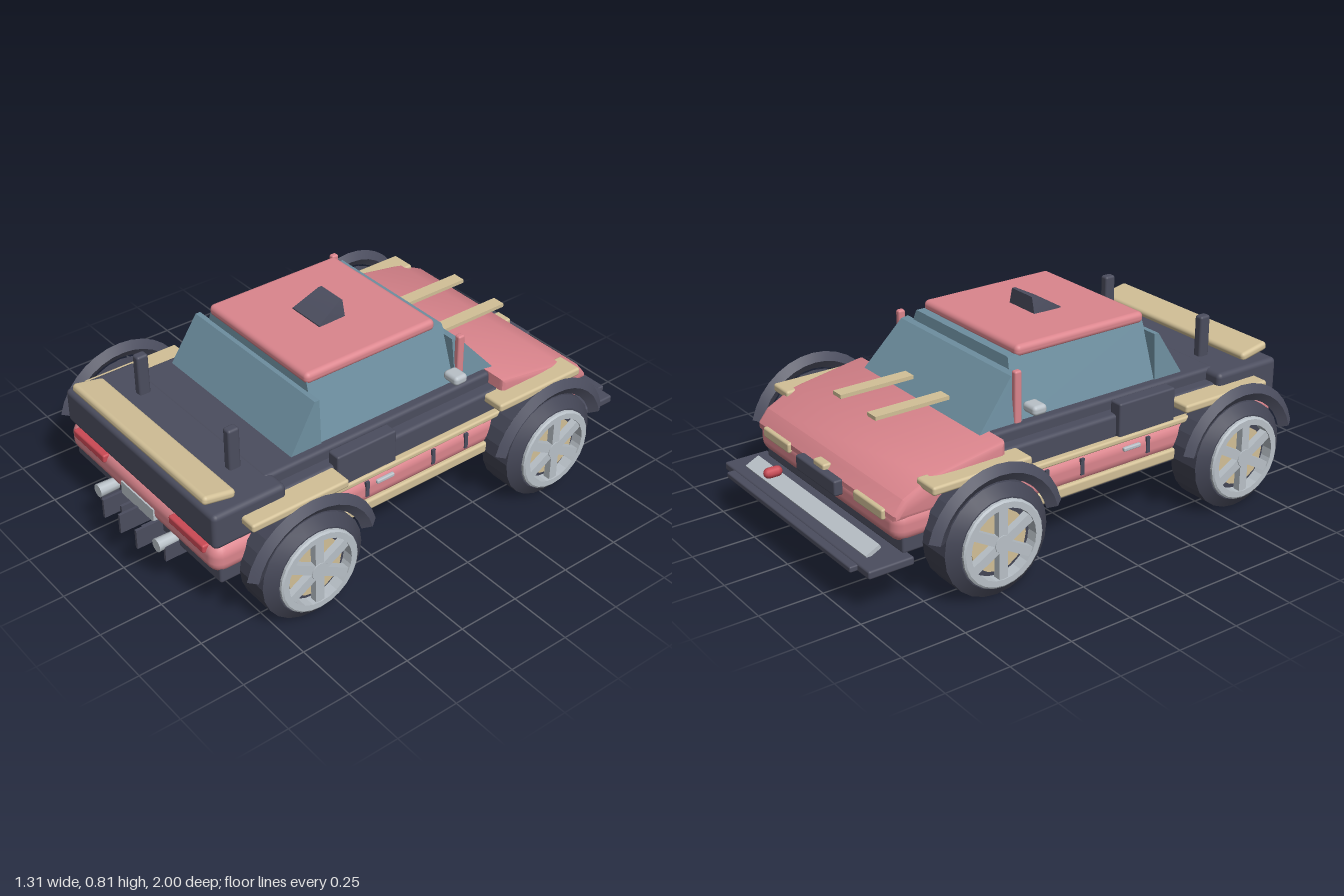
import * as THREE from 'three';
import { toCreasedNormals } from 'three/addons/utils/BufferGeometryUtils.js';
import { RoundedBoxGeometry } from 'three/addons/geometries/RoundedBoxGeometry.js';

const mat = (name, color) => {
  const m = new THREE.MeshStandardMaterial({ color });
  m.name = name;
  return m;
};

export function createModel() {
  const car = new THREE.Group();
  car.name = 'car';
  const pink = mat('pink paint', 0xdb858d);
  const dark = mat('dark trim', 0x4b4d5e);
  const tyreMat = mat('tyre rubber', 0x444656);
  const glass = mat('blue glass', 0x6d8e9f);
  const beige = mat('beige trim', 0xd2c097);
  const silver = mat('silver metal', 0xb9c1c8);
  const red = mat('red lamp', 0xcb4a55);

  const add = (name, geo, material, parent = car) => {
    const m = new THREE.Mesh(geo, material);
    m.name = name;
    parent.add(m);
    return m;
  };
  // box given by its extents, with optional rounded edges
  const box = (name, material, [x0, x1], [y0, y1], [z0, z1], r = 0) => {
    const s = [x1 - x0, y1 - y0, z1 - z0];
    const geo = r ? new RoundedBoxGeometry(...s, 3, r) : new THREE.BoxGeometry(...s);
    const m = add(name, geo, material);
    m.position.set((x0 + x1) / 2, (y0 + y1) / 2, (z0 + z1) / 2);
    return m;
  };
  // the same box on both sides
  const pair = (name, material, [x0, x1], y, z, r) => {
    box(name + 'Left', material, [x0, x1], y, z, r);
    box(name + 'Right', material, [-x1, -x0], y, z, r);
  };
  // side profile of [z, y] points swept across the width
  const prism = (name, material, pts, half, bevel = 0, halfAt = null) => {
    const shape = new THREE.Shape(pts.map(p => new THREE.Vector2(...p)));
    const depth = 2 * (half - bevel);
    let geo = new THREE.ExtrudeGeometry(shape, {
      depth, bevelEnabled: bevel > 0, bevelSize: bevel, bevelThickness: bevel, bevelOffset: -bevel, bevelSegments: 2,
    });
    geo.rotateY(-Math.PI / 2).translate(depth / 2, 0, 0);
    if (halfAt) {
      const p = geo.attributes.position;
      for (let i = 0; i < p.count; i++) p.setX(i, p.getX(i) / half * halfAt(p.getY(i)));
    }
    geo = toCreasedNormals(geo, 0.5);
    return add(name, geo, material);
  };

  // lower body
  box('chassis', dark, [-0.475, 0.475], [0.19, 0.27], [-0.81, 0.89], 0.01);
  box('lowerBody', pink, [-0.485, 0.485], [0.228, 0.352], [-0.84, 0.915], 0.05);
  pair('sill', beige, [0.46, 0.492], [0.205, 0.25], [-0.33, 0.42], 0.01);
  pair('sideStrip', beige, [0.46, 0.492], [0.345, 0.368], [-0.4, 0.47], 0.008);
  for (const z of [0.26, -0.05, -0.21]) pair('doorSeam', dark, [0.48, 0.489], [0.27, 0.335], [z - 0.008, z + 0.008]);
  pair('doorHandle', silver, [0.48, 0.495], [0.308, 0.324], [0.14, 0.22], 0.005);

  // upper body, rear deck and hood
  box('upperBody', dark, [-0.46, 0.46], [0.345, 0.45], [-0.39, 0.65], 0.015);
  box('shoulder', dark, [-0.41, 0.41], [0.42, 0.495], [-0.39, 0.65], 0.015);
  box('rearDeck', dark, [-0.483, 0.483], [0.348, 0.492], [0.61, 0.912], 0.02);
  pair('sidePanel', dark, [0.425, 0.482], [0.355, 0.498], [0.125, 0.39], 0.008);
  prism('hood', pink, [[-0.385, 0.32], [-0.385, 0.495], [-0.69, 0.445], [-0.80, 0.39], [-0.84, 0.34], [-0.84, 0.32]], 0.482, 0.018);
  for (const x of [-0.117, 0.117]) box('hoodBar', beige, [x - 0.027, x + 0.027], [0.533, 0.548], [-0.7, -0.39]);

  // cabin
  prism('cabinGlass', glass, [[-0.27, 0.48], [0.395, 0.48], [0.38, 0.71], [-0.24, 0.71]], 0.37, 0,
    y => 0.375 - (y - 0.48) * 0.36);
  prism('windshield', glass, [[-0.425, 0.49], [-0.24, 0.49], [-0.24, 0.67], [-0.27, 0.665]], 0.38, 0,
    y => 0.38 - (y - 0.49) * 0.15);
  prism('rearWindow', glass, [[0.38, 0.49], [0.515, 0.49], [0.4, 0.675], [0.38, 0.675]], 0.375, 0,
    y => 0.375 - (y - 0.49) * 0.05);
  box('roof', pink, [-0.3, 0.3], [0.697, 0.743], [-0.205, 0.385], 0.02);
  prism('roofScoop', dark, [[0.04, 0.73], [0.16, 0.73], [0.16, 0.748], [0.055, 0.805], [0.04, 0.805]], 0.08, 0,
    y => y > 0.78 ? 0.062 : 0.08);
  pair('pillar', pink, [0.36, 0.386], [0.49, 0.692], [-0.275, -0.245], 0.008);
  pair('mirror', silver, [0.375, 0.45], [0.532, 0.57], [-0.24, -0.18], 0.015);

  // rear wing, lamps, plate and diffuser
  pair('wingPost', dark, [0.267, 0.305], [0.47, 0.656], [0.672, 0.72], 0.01);
  const wing = box('rearWing', beige, [-0.43, 0.43], [0.495, 0.53], [0.78, 0.912], 0.015);
  wing.rotation.x = -0.2;
  pair('tailLamp', red, [0.213, 0.427], [0.309, 0.343], [0.895, 0.925], 0.008);
  box('rearPlate', silver, [-0.106, 0.106], [0.24, 0.295], [0.9, 0.921]);
  for (const x of [-0.11, 0, 0.11]) box('longFin', dark, [x - 0.006, x + 0.006], [0.165, 0.245], [0.87, 1]);
  for (const x of [-0.215, -0.072, 0.072, 0.215]) box('shortFin', dark, [x - 0.006, x + 0.006], [0.152, 0.215], [0.81, 0.95]);
  for (const x of [-0.195, 0.195]) {
    const pipe = add('exhaust', new THREE.CylinderGeometry(0.026, 0.022, 0.12, 10), silver);
    pipe.rotation.x = Math.PI / 2;
    pipe.position.set(x, 0.218, 0.91);
  }

  // nose and front bumper
  pair('headlamp', beige, [0.225, 0.415], [0.305, 0.345], [-0.852, -0.82], 0.008);
  box('frontPlate', dark, [-0.137, 0.137], [0.285, 0.345], [-0.872, -0.835], 0.008);
  box('noseBadge', beige, [-0.037, 0.037], [0.335, 0.365], [-0.856, -0.82], 0.008);
  box('bumper', dark, [-0.515, 0.515], [0.163, 0.195], [-0.97, -0.79], 0.008);
  box('bumperLip', dark, [-0.443, 0.443], [0.167, 0.19], [-1, -0.96], 0.006);
  const skid = box('bumperRail', silver, [-0.427, 0.427], [0.2, 0.216], [-0.928, -0.866]);
  skid.rotation.x = -0.45;
  const hook = add('towHook', new THREE.CapsuleGeometry(0.021, 0.032, 3, 8), red);
  hook.rotation.x = Math.PI / 2;
  hook.position.set(0.24, 0.245, -0.912);

  // wheels, arches and fender plates
  const lathe = (pts, n) => toCreasedNormals(
    new THREE.LatheGeometry(pts.map(p => new THREE.Vector2(...p)), n), 0.2);
  const tyreGeo = lathe([[0, 0.435], [0.168, 0.435], [0.213, 0.477], [0.213, 0.61], [0.17, 0.64],
    [0.15, 0.64], [0.15, 0.61], [0, 0.61]], 24);
  const rimGeo = lathe([[0.165, 0.61], [0.165, 0.65], [0.158, 0.655], [0.135, 0.655], [0.135, 0.61]], 24);
  const discGeo = new THREE.CylinderGeometry(0.115, 0.115, 0.02, 16);
  const hubGeo = new THREE.CylinderGeometry(0.035, 0.04, 0.05, 12);
  const spokeGeo = new THREE.BoxGeometry(0.036, 0.03, 0.145);
  spokeGeo.translate(0, 0, 0.0725);
  const archGeo = new THREE.TorusGeometry(0.252, 0.033, 4, 14, Math.PI * 0.84);
  archGeo.rotateZ(Math.PI * 0.08).rotateY(Math.PI / 2).scale(0.7, 1, 1);

  for (const [end, z] of [['rear', 0.6], ['front', -0.52]]) {
    for (const side of [1, -1]) {
      const wheel = new THREE.Group();
      wheel.name = end + 'Wheel' + (side > 0 ? 'Left' : 'Right');
      wheel.position.set(0, 0.213, z);
      wheel.rotation.z = -side * Math.PI / 2;
      car.add(wheel);
      add('tyre', tyreGeo, tyreMat, wheel);
      add('rim', rimGeo, silver, wheel);
      add('brakeDisc', discGeo, beige, wheel).position.y = 0.612;
      add('hub', hubGeo, silver, wheel).position.y = 0.628;
      for (let i = 0; i < 6; i++) {
        const spoke = add('spoke', spokeGeo, silver, wheel);
        spoke.position.y = 0.635;
        spoke.rotation.y = Math.PI / 2 + i * Math.PI / 3;
      }
      add(end + 'Arch', toCreasedNormals(archGeo, 0.5), dark).position.set(side * 0.611, 0.213, z);
    }
    pair(end + 'FenderPlate', beige, [0.44, 0.548], [0.412, 0.445], [z - 0.21, z + 0.2], 0.01);
  }
  return car;
}
